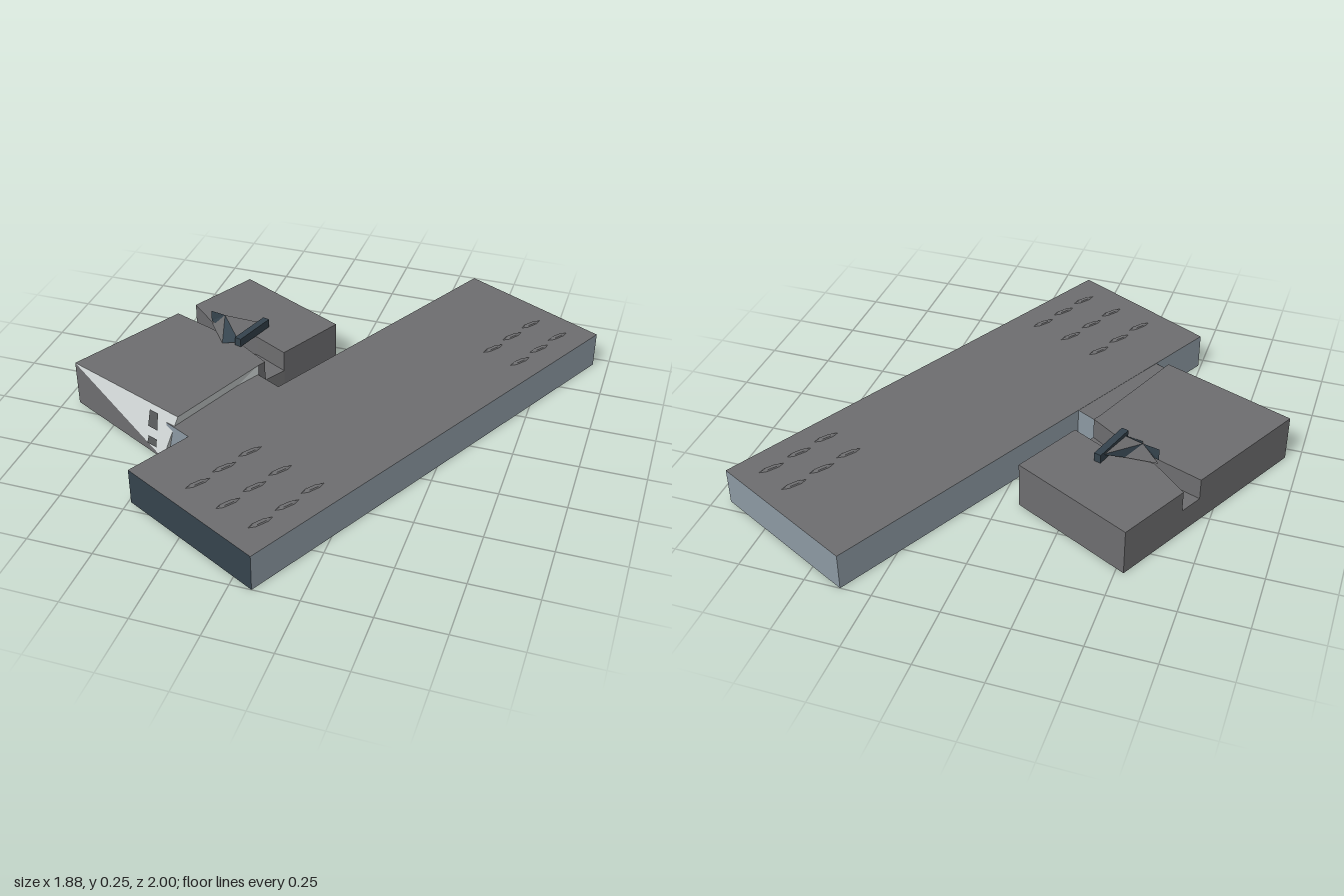
import * as THREE from 'three';

const mat = (name, color) => {
  const m = new THREE.MeshStandardMaterial({ color, side: THREE.DoubleSide, flatShading: true });
  m.name = name;
  return m;
};

export function createModel() {
  const model = new THREE.Group();
  const grey = mat('roof grey', 0x6e6e70);
  const blue = mat('wall blue grey', 0x8d9aa4);
  const navy = mat('dark navy', 0x35434d);
  const white = mat('pale wall', 0xd3d9d9);
  const dark = mat('opening grey', 0x585a5b);

  const add = (name, geometry, material, parent = model) => {
    const mesh = new THREE.Mesh(geometry, material);
    mesh.name = name;
    parent.add(mesh);
    return mesh;
  };
  // Flat polygon from [x, y, z] corners, as a triangle fan
  const panel = (name, material, pts, parent) => {
    const pos = [];
    for (let i = 1; i < pts.length - 1; i++) pos.push(...pts[0], ...pts[i], ...pts[i + 1]);
    const g = new THREE.BufferGeometry();
    g.setAttribute('position', new THREE.Float32BufferAttribute(pos, 3));
    g.computeVertexNormals();
    return add(name, g, material, parent);
  };
  // Upright wall between two plan points [x, z]
  const wall = (name, material, a, b, y0, y1, parent) => panel(name, material,
    [[a[0], y0, a[1]], [b[0], y0, b[1]], [b[0], y1, b[1]], [a[0], y1, a[1]]], parent);
  // Level sheet over a plan outline
  const level = (name, material, pts, y, parent) => {
    const shape = new THREE.Shape(pts.slice().reverse().map(([x, z]) => new THREE.Vector2(x, -z)));
    return add(name, new THREE.ShapeGeometry(shape).rotateX(-Math.PI / 2).translate(0, y, 0), material, parent);
  };
  const group = (name) => {
    const g = new THREE.Group();
    g.name = name;
    model.add(g);
    return g;
  };

  // Long hall, open underneath
  const hall = group('longHall');
  const H = 0.145;
  const A = [0.365, -1], B = [0.94, -0.705], C = [0.08, 1], D = [-0.49, 0.705];
  level('hallRoof', grey, [A, B, C, D], H, hall);
  wall('hallBackWall', blue, A, B, 0, H, hall);
  wall('hallOuterWall', blue, B, C, 0, H, hall);
  wall('hallFrontWall', navy, C, D, 0, H, hall);
  wall('hallInnerWall', blue, D, A, 0, H, hall);

  // Low roof vents in slanted rows
  const vents = group('roofVents');
  const row = (x, z, n) => {
    for (let i = 0; i < n; i++) {
      const v = add('roofVent', new THREE.SphereGeometry(1, 6, 4), grey, vents);
      v.scale.set(0.05, 0.006, 0.012);
      v.rotation.y = 0.93;
      v.position.set(x - 0.054 * i, H, z + 0.114 * i);
    }
  };
  row(0.67, -0.7, 3);
  row(0.79, -0.64, 3);
  row(-0.12, 0.47, 3);
  row(0.02, 0.54, 3);
  row(0.16, 0.6, 3);

  // Low link between the two buildings
  const link = group('link');
  const L = [[-0.265, -0.005], [-0.16, 0.05], [-0.365, 0.455], [-0.475, 0.4]];
  level('linkRoof', grey, L, H - 0.001, link);
  wall('linkBackWall', blue, L[0], L[1], 0, H, link);
  wall('linkFrontWall', blue, L[2], L[3], 0, H, link);

  // Square block, with a roof cut by two channels
  const block = group('squareBlock');
  const T = 0.185, F0 = 0.1;
  const E = [-0.53, -0.625], F = [-0.07, -0.39], G = [-0.265, -0.005];
  const J = [-0.485, 0.433], K = [-0.425, 0.405], I = [-0.945, 0.195];
  const northEdge = [[-0.667, -0.355], [-0.53, -0.23], [-0.34, -0.2], [-0.2, -0.125]];
  const southEdge = [[-0.71, -0.27], [-0.54, -0.205], [-0.38, -0.13], [-0.248, -0.04]];
  level('northRoof', grey, [E, F, ...northEdge.slice().reverse()], T, block);
  level('southRoof', grey, [...southEdge, G, K, I], T, block);
  level('channelFloor', grey, [...northEdge, ...southEdge.slice().reverse()], F0, block);
  for (const edge of [northEdge, southEdge])
    for (let i = 0; i < 3; i++) wall('channelWall', grey, edge[i], edge[i + 1], F0, T, block);
  wall('blockBackWall', grey, E, F, 0, T, block);
  wall('blockEastWall', grey, F, northEdge[3], 0, T, block);
  wall('eastChannelSill', grey, northEdge[3], southEdge[3], 0, F0, block);
  wall('blockEastCorner', grey, southEdge[3], G, 0, T, block);
  wall('blockWestWall', grey, E, northEdge[0], 0, T, block);
  wall('westChannelSill', grey, northEdge[0], southEdge[0], 0, F0, block);
  wall('blockWestWall', grey, southEdge[0], I, 0, T, block);
  // Folded front corner
  const at = (p, y) => [p[0], y, p[1]];
  panel('frontLowerFace', grey, [at(I, T), at(I, 0), at(J, 0)], block);
  panel('frontUpperFace', white, [at(I, T), at(J, 0), at(K, T)], block);
  panel('innerSideWall', white, [at(J, 0), at(G, 0), at(G, T), at(K, T)], block);

  // Openings lying just off the folded front face
  const onFront = (x, y) => [x, y, 0.203 + 0.404 * (x + 0.945) - 0.28 * (y - T)];
  for (const [y0, y1] of [[0.035, 0.065], [0.1, 0.165]])
    panel('frontOpening', dark, [onFront(-0.56, y0), onFront(-0.515, y0), onFront(-0.515, y1), onFront(-0.555, y1)], block);

  // Rooftop crest: an upright fin and folded plates
  const crest = group('roofCrest');
  const fin = add('crestFin', new THREE.BoxGeometry(0.028, 0.035, 0.185), navy, crest);
  fin.position.set(-0.36, 0.205, -0.2);
  fin.rotation.y = -0.3;
  const peak = [-0.48, 0.252, -0.215], rim = [
    [-0.545, 0.19, -0.232], [-0.42, 0.19, -0.235], [-0.345, 0.21, -0.27],
    [-0.385, 0.2, -0.12], [-0.455, 0.185, -0.115]];
  rim.forEach((p, i) => panel('crestPlate', i % 2 ? navy : grey, [peak, p, rim[(i + 1) % 5]], crest));
  panel('crestFlap', navy, [[-0.545, 0.205, -0.23], [-0.545, 0.252, -0.23], peak, [-0.44, 0.19, -0.18]], crest);

  return model;
}
